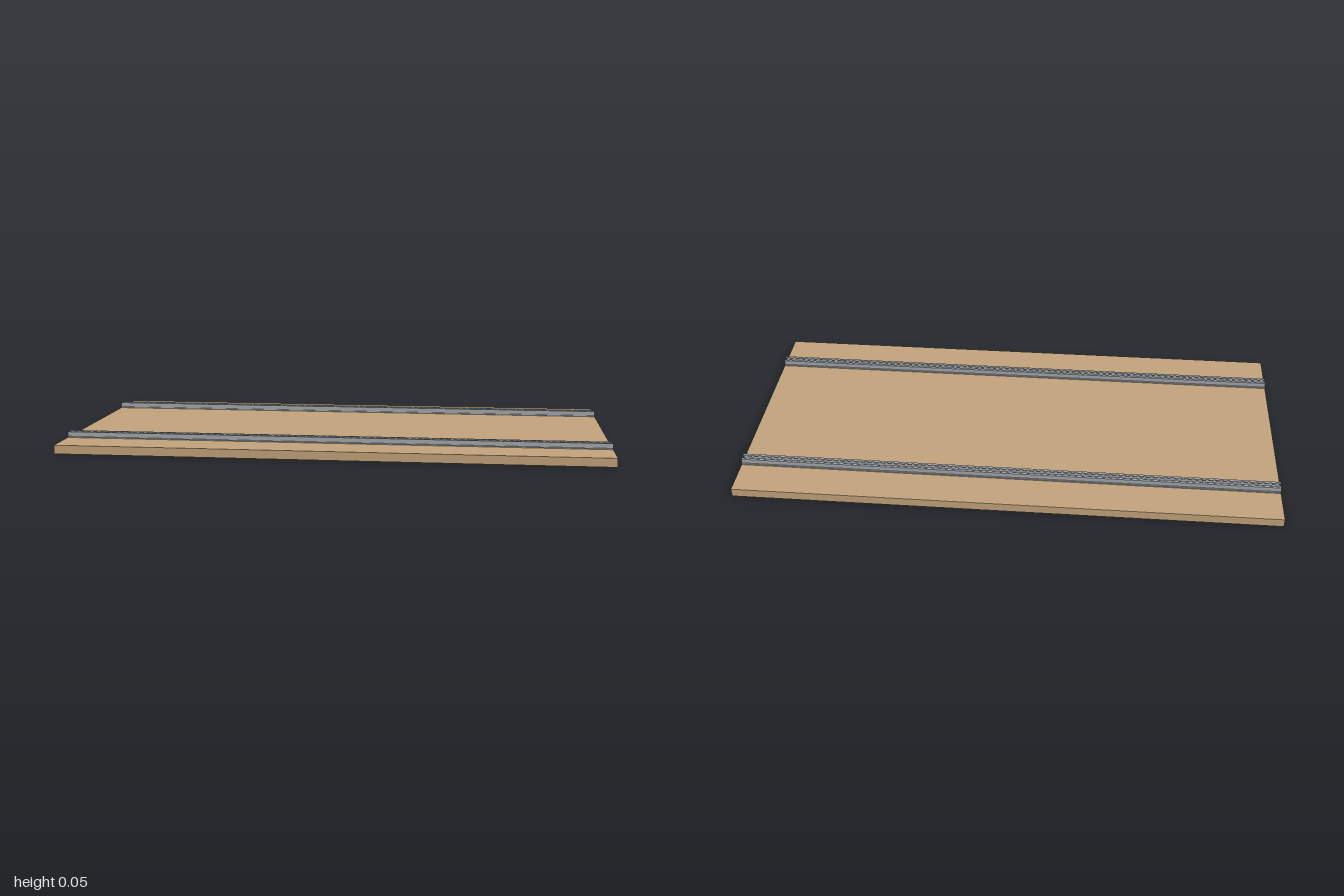
import * as THREE from 'three';

const LENGTH = 2, BOARD_H = 0.032, RAIL_Z = 0.333;
const HALF_W = 0.0175, SLOT = 0.006, HOLE_R = 0.0105, PITCHES = 79;

// Lip outline: straight outer edge, inner edge scalloped by a row of round holes
function lipGeometry() {
  const s = new THREE.Shape();
  const pitch = LENGTH / PITCHES, a = Math.asin(SLOT / HOLE_R);
  s.moveTo(-LENGTH / 2, HALF_W);
  s.lineTo(-LENGTH / 2, SLOT);
  for (let i = 0; i < PITCHES; i++) {
    const cx = -LENGTH / 2 + (i + 0.5) * pitch;
    s.absarc(cx, 0, HOLE_R, Math.PI - a, a, true);
  }
  s.lineTo(LENGTH / 2, SLOT);
  s.lineTo(LENGTH / 2, HALF_W);
  s.closePath();
  const g = new THREE.ExtrudeGeometry(s, { depth: 0.004, bevelEnabled: false, curveSegments: 8 });
  return g.rotateX(-Math.PI / 2);
}

export function createModel() {
  const model = new THREE.Group();
  model.name = 'floorPanelWithTracks';

  const wood = new THREE.MeshStandardMaterial({ color: 0xc4a57d });
  wood.name = 'wood';
  const metal = new THREE.MeshStandardMaterial({ color: 0xa6abae });
  metal.name = 'metal';

  const add = (parent, name, geometry, material, x, y, z) => {
    const mesh = new THREE.Mesh(geometry, material);
    mesh.name = name;
    mesh.position.set(x, y, z);
    parent.add(mesh);
    return mesh;
  };

  // Board
  add(model, 'board', new THREE.BoxGeometry(LENGTH, BOARD_H, 1), wood, 0, BOARD_H / 2, 0);

  // Two slotted tracks: base flange, two walls and inward scalloped lips
  const flange = new THREE.BoxGeometry(LENGTH, 0.004, 0.046);
  const wall = new THREE.BoxGeometry(LENGTH, 0.014, 0.004);
  const lip = lipGeometry();
  for (const side of [1, -1]) {
    const track = new THREE.Group();
    track.name = side > 0 ? 'frontTrack' : 'backTrack';
    track.position.set(0, BOARD_H, side * RAIL_Z);
    add(track, 'flange', flange, metal, 0, 0.002, 0);
    for (const edge of [1, -1]) {
      add(track, 'wall', wall, metal, 0, 0.011, edge * (HALF_W - 0.002));
      const m = add(track, 'lip', lip, metal, 0, 0.017, 0);
      if (edge > 0) m.rotation.y = Math.PI;
    }
    model.add(track);
  }
  return model;
}
